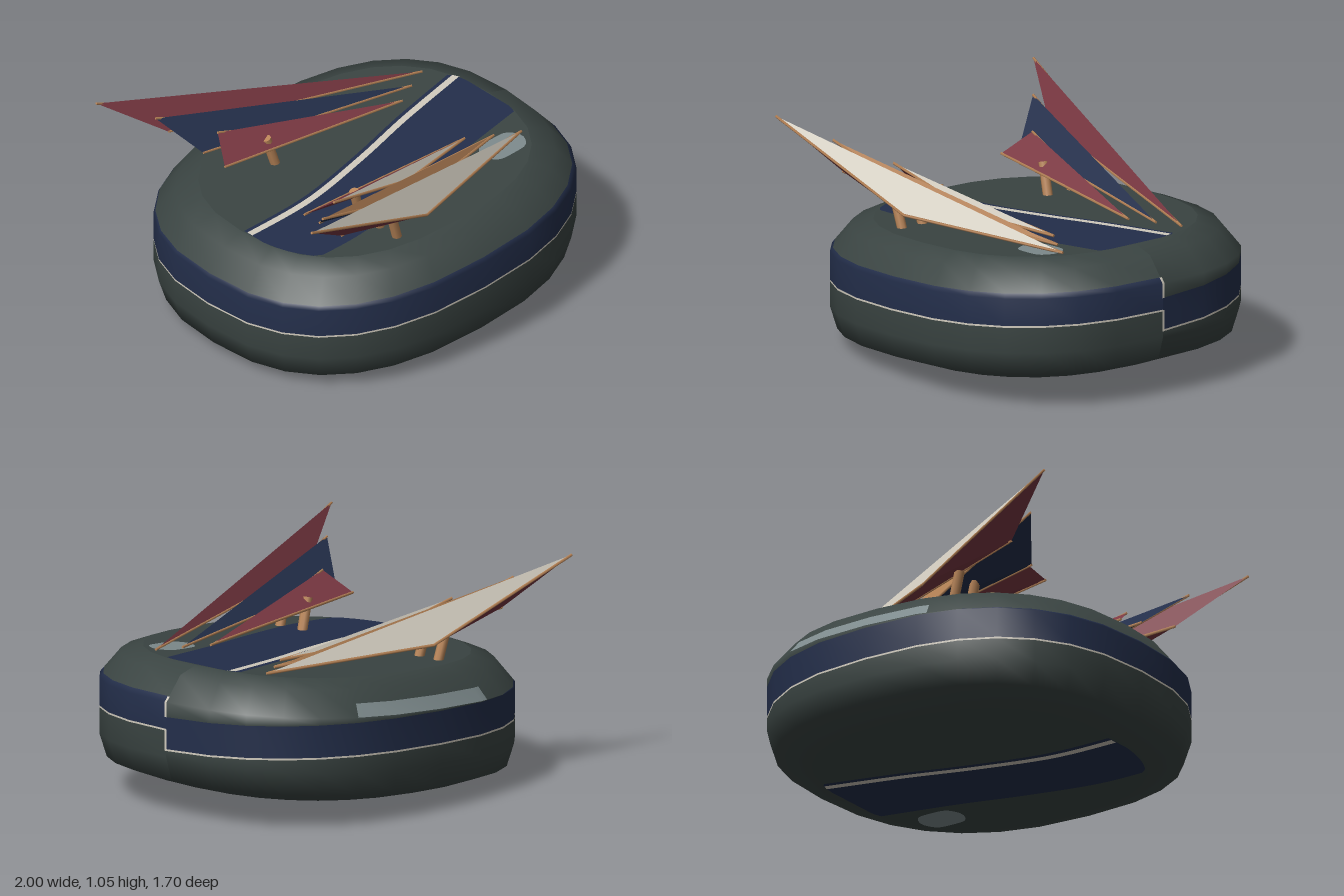
import * as THREE from 'three';

const SEG = 28, A = 0.985, B = 0.85, H = 0.296;
const mat = (name, color) => Object.assign(new THREE.MeshStandardMaterial({ color }), { name });

// Hull cross-section: [height, radius], low to high
const PROFILE = [[-H, 0.777], [-0.238, 0.95], [-0.126, A], [0.14, A], [0.26, 0.885], [H, 0.777]];
function radius(y) {
  for (let k = 1; k < PROFILE.length; k++) {
    const [y0, r0] = PROFILE[k - 1], [y1, r1] = PROFILE[k];
    if (y <= y1) return r0 + (r1 - r0) * (y - y0) / (y1 - y0);
  }
  return PROFILE[PROFILE.length - 1][1];
}
const pow = (v) => Math.sign(v) * Math.abs(v) ** 0.8;
// The hull is sheared so that it rises towards +x
const lift = (x, y) => y + 0.356 + 0.073 * x;

// Point on the hull skin at (possibly fractional) segment i and height y
function skinPoint(i, y, grow = 0) {
  const k = Math.floor(i), f = i - k, s = (radius(y) + grow) / A;
  const corner = (n) => {
    const t = (n % SEG) * 2 * Math.PI / SEG;
    return [A * s * pow(Math.cos(t)), B * s * pow(Math.sin(t))];
  };
  const p = corner(k), q = corner(k + 1);
  const x = p[0] + (q[0] - p[0]) * f, z = p[1] + (q[1] - p[1]) * f;
  return [x + 0.01, lift(x, y), z];
}

function meshFrom(points, index, material, name) {
  const g = new THREE.BufferGeometry();
  g.setAttribute('position', new THREE.Float32BufferAttribute(points.flat(), 3));
  g.setIndex(index);
  g.computeVertexNormals();
  const m = new THREE.Mesh(g, material);
  m.name = name;
  return m;
}

export function createModel() {
  const model = new THREE.Group();
  model.name = 'hoveringPuck';
  const grey = mat('hullGrey', 0x3a4442), navy = mat('navy', 0x232e4a), cream = mat('cream', 0xd0cabd);
  const red = mat('red', 0x7a3842), tan = mat('tan', 0xb98558), pale = mat('paleGrey', 0x7d8a8c);

  // Hull side, with a painted belt that steps down on its way round
  const beltLow = (i) => {
    const f = i / (SEG / 2);
    return f < 1 ? 0.01 * (1 - f) : -0.088 * (f - 1) ** 1.8;
  };
  const rings = (i) => {
    const low = beltLow(i), top = low + 0.155;
    return [-H, -0.238, -0.126, low - 0.009, low, Math.min(top, 0.14), Math.max(top, 0.14), 0.26, H];
  };
  const points = [], n = rings(0).length;
  for (let i = 0; i <= SEG; i++) for (const y of rings(i)) points.push(skinPoint(i, y));
  const byMaterial = [[], [], []];
  for (let i = 0; i < SEG; i++) {
    const high = beltLow(i + 0.5) + 0.155 > 0.14 ? 1 : 0;
    [0, 0, 0, 2, 1, high, 0, 0].forEach((m, j) => {
      const a = i * n + j, d = a + n;
      byMaterial[m].push(a, a + 1, d + 1, a, d + 1, d);
    });
  }
  const hull = meshFrom(points, byMaterial.flat(), [grey, navy, cream], 'hullSide');
  let start = 0;
  byMaterial.forEach((list, m) => {
    hull.geometry.addGroup(start, list.length, m);
    start += list.length;
  });
  model.add(hull);

  // Flat top and bottom
  for (const side of [1, -1]) {
    const pts = [[0.01, lift(0, side * H), 0]], idx = [];
    for (let i = 0; i <= SEG; i++) pts.push(skinPoint(i, side * H));
    for (let i = 1; i <= SEG; i++) idx.push(0, ...(side > 0 ? [i + 1, i] : [i, i + 1]));
    model.add(meshFrom(pts, idx, grey, side > 0 ? 'hullTop' : 'hullBottom'));
  }

  // Paint on the flat faces, trimmed to the rim
  function facePaint(x0, x1, zLow, zHigh, side, height, material, name) {
    const pts = [], idx = [], steps = 32;
    for (let k = 0; k <= steps; k++) {
      const s = Math.sin((k / steps - 0.5) * Math.PI) / 2 + 0.5, x = x0 + (x1 - x0) * s;
      const rim = 0.66 * (1 - Math.min(1, Math.abs(x) / 0.777) ** 2.5) ** 0.4;
      for (const z of [zLow(x), zHigh(x)]) {
        pts.push([x + 0.01, lift(x, side * (H + height)), Math.max(-rim, Math.min(rim, z))]);
      }
      if (k < steps) {
        const a = 2 * k;
        idx.push(...(side > 0 ? [a, a + 1, a + 3, a, a + 3, a + 2] : [a, a + 3, a + 1, a, a + 2, a + 3]));
      }
    }
    model.add(meshFrom(pts, idx, material, name));
  }
  const sweep = new THREE.SplineCurve([[-0.8, 0.053], [-0.4, 0.05], [0, -0.03], [0.36, -0.125], [0.8, -0.22]]
    .map(([x, z]) => new THREE.Vector2(x, z))).getPoints(40);
  const lineZ = (x) => {
    const k = Math.max(1, sweep.findIndex((p) => p.x >= x));
    const p = sweep[k - 1], q = sweep[k];
    return p.y + (q.y - p.y) * (x - p.x) / (q.x - p.x);
  };
  for (const side of [1, -1]) {
    facePaint(-0.77, 0.77, (x) => lineZ(x) - 0.04, (x) => lineZ(x) + 0.39 + 0.03 * x, side, 0.002, navy, 'navySweep');
    facePaint(-0.77, 0.765, (x) => lineZ(x) - 0.018, (x) => lineZ(x) + 0.018, side, 0.004, cream, 'creamSweepLine');
    const round = (x) => 0.08 * (1 - (Math.abs(x - 0.53) / 0.125) ** 5);
    facePaint(0.41, 0.65, (x) => 0.375 - round(x), (x) => 0.375 + round(x), side, 0.003, pale, 'palePanel');
  }

  // Paint on the hull side
  function sidePaint(columns, rows, material, name) {
    const pts = [], idx = [], h = rows.length;
    columns.forEach((i, c) => rows.forEach((y, r) => {
      pts.push(skinPoint(i, y, 0.004));
      if (c && r) {
        const d = c * h + r - 1, a = d - h;
        idx.push(a, a + 1, d + 1, a, d + 1, d);
      }
    }));
    model.add(meshFrom(pts, idx, material, name));
  }
  sidePaint([19.75, 20, 21, 22, 23], [0.141, 0.2], pale, 'backPanel');
  sidePaint([-0.025, 0, 0.025], [0.067, 0.14, 0.165], cream, 'upperBeltStep');
  sidePaint([-0.025, 0, 0.025], [-0.096, 0.008], cream, 'lowerBeltStep');

  // Fins: tip, inner corner, nose, outer corner (mirrored in z)
  const fins = [
    { name: 'outerFin', inner: red, outer: cream, c: [[-1, 1.04, 0.76], [-0.68, 0.82, 0.61], [0.68, 0.705, 0.35], [-0.17, 0.735, 0.64]] },
    { name: 'middleFin', inner: navy, outer: tan, c: [[-0.78, 0.945, 0.59], [-0.64, 0.78, 0.41], [0.56, 0.705, 0.29], [-0.1, 0.725, 0.475]] },
    { name: 'innerFin', inner: red, outer: cream, c: [[-0.55, 0.855, 0.41], [-0.62, 0.755, 0.28], [0.44, 0.705, 0.22], [-0.02, 0.72, 0.335]] },
  ];
  const rod = (p, q, r, name, sides = 6) => {
    const m = new THREE.Mesh(new THREE.CylinderGeometry(r, r, p.distanceTo(q), sides), tan);
    m.position.copy(p).lerp(q, 0.5);
    m.quaternion.setFromUnitVectors(new THREE.Vector3(0, 1, 0), q.clone().sub(p).normalize());
    m.name = name;
    return m;
  };
  for (const side of [1, -1]) {
    for (const fin of fins) {
      const group = new THREE.Group();
      group.name = fin.name;
      const v = fin.c.map(([x, y, z]) => new THREE.Vector3(x, y, z * side));
      // Each face is turned away from the corner opposite it
      const face = (a, b, c, opposite, material, name) => {
        const normal = v[b].clone().sub(v[a]).cross(v[c].clone().sub(v[a]));
        const order = normal.dot(v[opposite].clone().sub(v[a])) < 0 ? [0, 1, 2] : [0, 2, 1];
        group.add(meshFrom([a, b, c].map((k) => v[k].toArray()), order, material, name));
      };
      face(0, 2, 3, 1, fin.outer, 'finOuterFace');
      face(0, 1, 2, 3, fin.inner, 'finInnerFace');
      face(0, 1, 3, 2, fin.inner, 'finRearFace');
      face(1, 2, 3, 0, fin.inner, 'finUnderside');
      for (const [a, b] of [[0, 3], [3, 2], [1, 2]]) group.add(rod(v[a], v[b], 0.007, 'finEdge', 4));
      model.add(group);
    }
    // Struts under the fins
    for (const z of [0.56, 0.44, 0.3]) {
      model.add(rod(new THREE.Vector3(-0.285, 0.62, z * side), new THREE.Vector3(-0.335, 0.78, (z + 0.01) * side), 0.024, 'strut', 8));
    }
  }
  return model;
}
